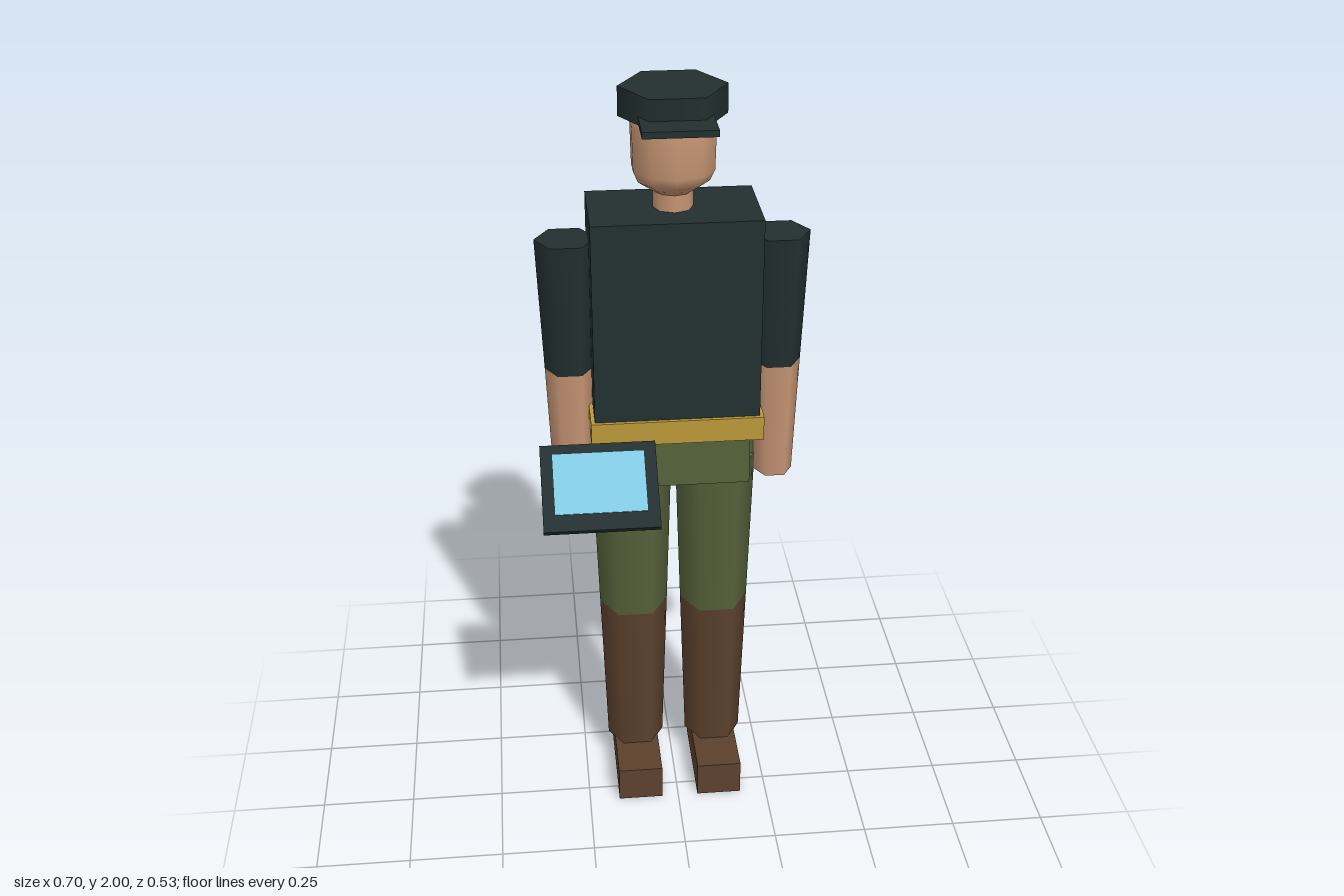
import * as THREE from 'three';

const mat = (name, color) => {
  const m = new THREE.MeshStandardMaterial({ color });
  m.name = name;
  return m;
};

export function createModel() {
  const navy = mat('dark cloth', 0x232f30);
  const skin = mat('skin', 0xc69573);
  const green = mat('green cloth', 0x56623b);
  const brown = mat('brown leather', 0x5c412d);
  const gold = mat('belt gold', 0xba993a);
  const glass = mat('screen blue', 0x80c8e0);

  const model = new THREE.Group();
  model.name = 'figure';
  const CX = 0.005, CZ = -0.135; // body axis

  function add(name, geometry, material, x, y, z, parent = model) {
    const mesh = new THREE.Mesh(geometry, material);
    mesh.name = name;
    mesh.position.set(x, y, z);
    parent.add(mesh);
    return mesh;
  }
  // Box from its size and centre
  const box = (name, m, w, h, d, x, y, z, parent) =>
    add(name, new THREE.BoxGeometry(w, h, d), m, x, y, z, parent);
  // Six-sided tapered tube between two heights, corners pointing to the sides
  function hex(name, m, rTop, rBottom, y0, y1, x, z, sides = 6) {
    const g = new THREE.CylinderGeometry(rTop, rBottom, y1 - y0, sides);
    if (sides === 6) g.rotateY(Math.PI / 6);
    return add(name, g, m, x, (y0 + y1) / 2, z);
  }

  // Trunk
  box('torso', navy, 0.42, 0.53, 0.244, CX, 1.435, CZ);
  box('belt', gold, 0.44, 0.064, 0.264, CX, 1.143, CZ);
  box('hips', green, 0.375, 0.135, 0.23, CX, 1.0455, CZ);

  // Limbs, mirrored about the body axis
  for (const [side, s] of [['left', 1], ['right', -1]]) {
    const ax = CX + s * 0.266, lx = CX + s * 0.111;
    hex(side + 'Sleeve', navy, 0.0765, 0.0625, 1.275, 1.625, ax, CZ);
    hex(side + 'Forearm', skin, 0.0625, 0.0505, 0.952, 1.275, ax, CZ);
    hex(side + 'Trouser', green, 0.106, 0.0925, 0.555, 1.0, lx, CZ);
    hex(side + 'BootShaft', brown, 0.0925, 0.078, 0.095, 0.555, lx, CZ);
    box(side + 'Foot', brown, 0.122, 0.1, 0.285, lx, 0.05, -0.0875);
  }

  // Head and neck
  hex('neck', skin, 0.05, 0.05, 1.69, 1.77, CX, CZ, 8);
  const profile = [[0, 1.74], [0.05, 1.743], [0.093, 1.772], [0.106, 1.8], [0.109, 1.91], [0.095, 1.94], [0, 1.95]]
    .map(([r, y]) => new THREE.Vector2(r, y));
  add('head', new THREE.LatheGeometry(profile, 10), skin, CX, 0, CZ).scale.x = 0.98;

  // Cap
  hex('cap', navy, 0.132, 0.132, 1.928, 2.0, CX, CZ);
  box('capBrim', navy, 0.178, 0.016, 0.155, CX, 1.94, -0.0225);

  // Pouches on the belt
  box('rightPouch', brown, 0.11, 0.135, 0.065, -0.184, 1.0185, -0.0225);
  hex('leftPouch', green, 0.07, 0.07, 0.952, 1.11, 0.203, -0.196);

  // Tilted tablet
  const tablet = new THREE.Group();
  tablet.name = 'tablet';
  tablet.position.set(-0.205, 1.095, 0.1725);
  tablet.rotation.x = THREE.MathUtils.degToRad(40);
  model.add(tablet);
  box('tabletFrame', navy, 0.286, 0.02, 0.225, 0, 0, 0, tablet);
  box('tabletScreen', glass, 0.226, 0.004, 0.157, 0, 0.0105, -0.009, tablet);

  return model;
}
